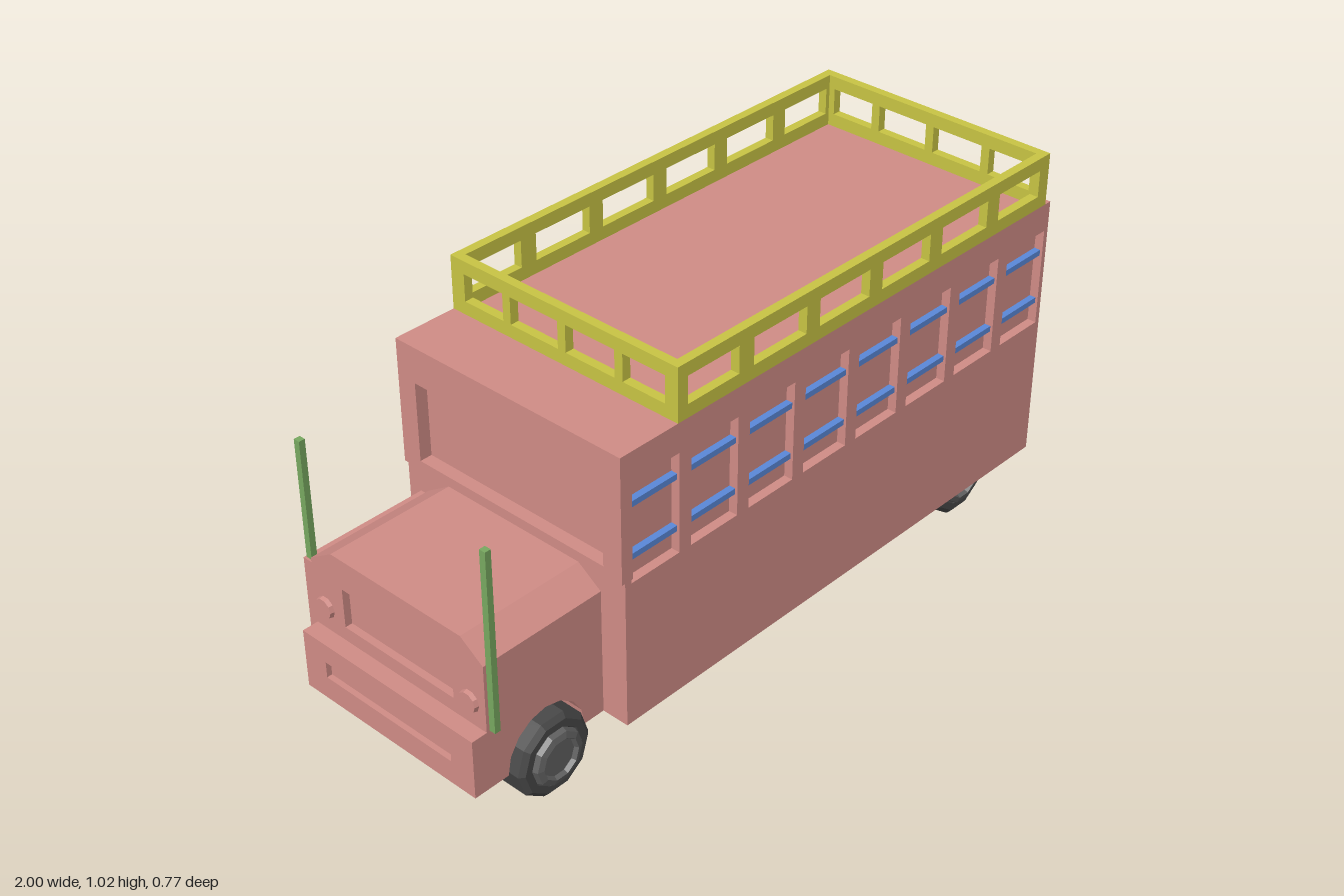
import * as THREE from 'three';

const mat = (color) => new THREE.MeshStandardMaterial({ color, flatShading: true });

export function createModel() {
  const group = new THREE.Group();
  const pink = mat(0xd08c86), yellow = mat(0xc8c444), blue = mat(0x5a88d8);
  const green = mat(0x78a860), rubber = mat(0x484848), hubGrey = mat(0x606060);

  const add = (name, geo, material) => {
    const mesh = new THREE.Mesh(geo, material);
    mesh.name = name;
    group.add(mesh);
    return mesh;
  };

  // box given by its two corners
  const box = (name, material, x0, x1, y0, y1, z0, z1) => {
    const m = add(name, new THREE.BoxGeometry(x1 - x0, y1 - y0, z1 - z0), material);
    m.position.set((x0 + x1) / 2, (y0 + y1) / 2, (z0 + z1) / 2);
    return m;
  };

  const rect = (Type, [a, b, c, d]) => {
    const s = new Type();
    s.moveTo(a, c); s.lineTo(b, c); s.lineTo(b, d); s.lineTo(a, d); s.closePath();
    return s;
  };
  const polygon = (points) => new THREE.Shape(points.map((p) => new THREE.Vector2(...p)));
  const extrude = (shape, depth) => new THREE.ExtrudeGeometry(shape, { depth, bevelEnabled: false });
  const pierced = (outline, holes, depth) => {
    const s = rect(THREE.Shape, outline);
    s.holes = holes.map((h) => rect(THREE.Path, h));
    return extrude(s, depth);
  };

  // upright panel along x, from z to z + depth
  const sidePanel = (name, material, outline, holes, z, depth) => {
    add(name, pierced(outline, holes, depth), material).position.z = z;
  };
  // upright panel across the vehicle (outline in z, y), from x - depth to x
  const crossPanel = (name, material, outline, holes, x, depth) => {
    add(name, pierced(outline, holes, depth).rotateY(-Math.PI / 2), material).position.x = x;
  };

  const X0 = -0.59, X1 = 0.985, Z0 = -0.343, Z1 = 0.383, Y0 = 0.115, Y1 = 0.875, T = 0.025;

  // body core behind the recesses
  box('bodyCore', pink, X0 + T, X1 - T, Y0, Y1, Z0 + T, Z1 - T);
  box('frontBulkhead', pink, X0, X0 + T, Y0, 0.53, Z0 + T, Z1 - T);

  // side walls with window recesses and rails; the door replaces one window
  const windows = [];
  for (let i = 0; i < 8; i++) {
    const x = -0.57 + i * 0.1975;
    windows.push([x, x + 0.158, 0.52, 0.795]);
  }
  const door = [-0.565, -0.415, 0.215, 0.8];
  sidePanel('leftWall', pink, [X0, X1, Y0, Y1], windows, Z1 - T, T);
  sidePanel('rightWall', pink, [X0, X1, Y0, Y1], [door, ...windows.slice(1)], Z0, T);
  windows.forEach(([a, b], i) => {
    for (const y of [0.585, 0.728]) {
      box('windowRail', blue, a, b, y - 0.008, y + 0.008, Z1 - T, Z1 - 0.007);
      if (i > 0) box('windowRail', blue, a, b, y - 0.008, y + 0.008, Z0 + 0.007, Z0 + T);
    }
  });

  // rear wall with a wide barred recess and a bevelled corner cover
  crossPanel('rearWall', pink, [Z0 + T, Z1 - T, Y0, Y1], [[-0.25, 0.3, 0.515, 0.795]], X1, T);
  for (const y of [0.55, 0.66, 0.762]) {
    box('rearRail', blue, X1 - T, X1 - 0.007, y - 0.008, y + 0.008, -0.25, 0.3);
  }
  const cover = polygon([[-0.347, 0.503], [-0.27, 0.503], [-0.25, 0.52], [-0.25, 0.795], [-0.27, 0.811], [-0.347, 0.811]]);
  add('rearCornerCover', extrude(cover, 0.03).rotateY(-Math.PI / 2), pink).position.x = 1;

  // windscreen frame, its sunken pane showing the core
  crossPanel('windscreenFrame', pink, [Z0, Z1, 0.53, Y1], [[-0.285, 0.325, 0.555, 0.775]], X0 + T, T + 0.01);

  // skirt and door step on the right side
  box('skirt', pink, -0.39, X1, 0.28, 0.47, -0.357, Z0);
  box('doorStep', pink, -0.585, -0.39, 0.15, 0.215, -0.383, Z0);

  // roof rack: pierced rails on four sides
  const rackX = [[-0.385, -0.215], [-0.165, 0.018], [0.065, 0.247], [0.295, 0.477], [0.525, 0.707], [0.755, 0.925]];
  const rackZ = [[-0.3, -0.17], [-0.145, 0.01], [0.035, 0.19], [0.215, 0.345]];
  const slots = (spans) => spans.map(([a, b]) => [a, b, 0.911, 0.985]);
  for (const z of [Z0, Z1 - T]) sidePanel('rackSide', yellow, [-0.417, 0.963, Y1, 1.021], slots(rackX), z, T);
  for (const x of [-0.417 + T, 0.963]) crossPanel('rackEnd', yellow, [Z0 + T, Z1 - T, Y1, 1.021], slots(rackZ), x, T);

  // nose with wheel arches cut through
  const wheelX = -0.775, wheelY = 0.113;
  const nose = [[-0.935, Y0]];
  for (let i = 0; i <= 8; i++) {
    const a = Math.PI * (1 - i / 8);
    nose.push([wheelX + 0.122 * Math.cos(a), Y0 + 0.127 * Math.sin(a)]);
  }
  nose.push([X0, Y0], [X0, 0.455], [-0.935, 0.455]);
  add('nose', extrude(polygon(nose), 0.608), pink).position.z = -0.303;
  crossPanel('grilleSurround', pink, [-0.303, 0.305, Y0, 0.455], [[-0.17, 0.2, 0.32, 0.43]], -0.935, 0.02);

  // hood with sloping shoulders
  const hood = polygon([[-0.275, 0.455], [0.305, 0.455], [0.305, 0.468], [0.235, 0.516], [-0.2, 0.516], [-0.275, 0.468]]);
  add('hood', extrude(hood, 0.365).rotateY(-Math.PI / 2), pink).position.x = X0;

  // headlamps
  for (const z of [-0.235, 0.255]) {
    const lamp = add('headlamp', new THREE.CylinderGeometry(0.027, 0.03, 0.012, 10).rotateZ(Math.PI / 2), pink);
    lamp.position.set(-0.96, 0.345, z);
  }

  // bumper with a slot, and the two marker poles
  box('bumper', pink, -0.985, -0.955, Y0, 0.28, -0.275, 0.305);
  crossPanel('bumperFace', pink, [-0.275, 0.305, Y0, 0.28], [[-0.2, 0.23, 0.18, 0.225]], -0.985, 0.015);
  for (const z of [-0.29, 0.317]) box('markerPole', green, -0.949, -0.932, 0.285, 0.785, z - 0.009, z + 0.009);

  // wheels: ten-sided tyres with stepped hubs facing outward
  const lathe = (pts) => new THREE.LatheGeometry(pts.map((p) => new THREE.Vector2(...p)), 10)
    .rotateY(Math.PI / 10).rotateX(Math.PI / 2);
  const tyre = lathe([[0, 0], [0.113, 0], [0.113, 0.155], [0.1, 0.167], [0.08, 0.167], [0.074, 0.16], [0, 0.16]]);
  const hub = lathe([[0.078, 0.16], [0.072, 0.178], [0.056, 0.183], [0.05, 0.172], [0, 0.172]]);
  for (const x of [wheelX, 0.75]) {
    for (const side of [1, -1]) {
      const wheel = new THREE.Group();
      wheel.name = x < 0 ? 'frontWheel' : 'rearWheel';
      const t = new THREE.Mesh(tyre, rubber), h = new THREE.Mesh(hub, hubGrey);
      t.name = 'tyre';
      h.name = 'hub';
      wheel.add(t, h);
      wheel.position.set(x, wheelY, side > 0 ? 0.17 : -0.152);
      if (side < 0) wheel.rotation.y = Math.PI;
      group.add(wheel);
    }
  }
  return group;
}
